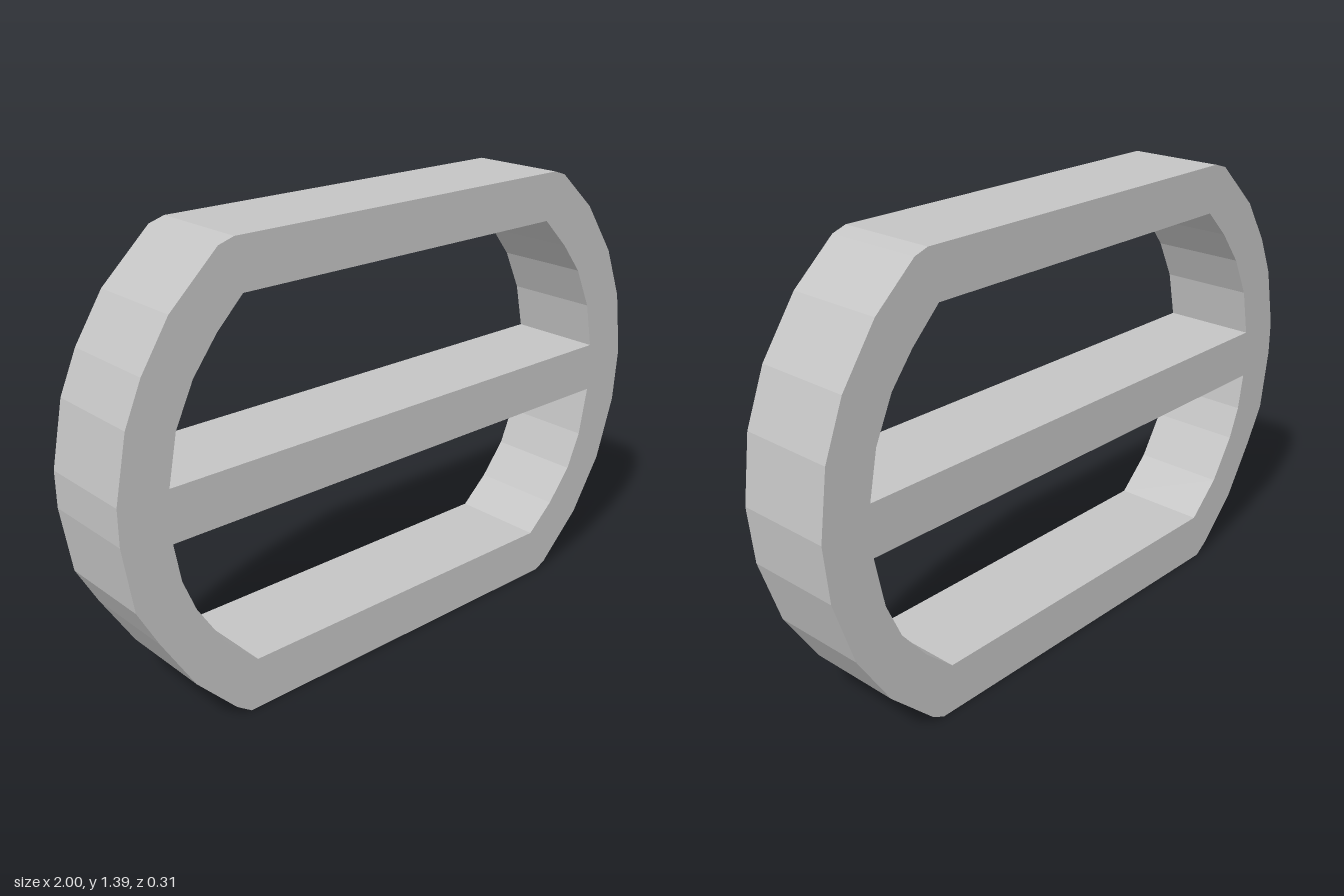
import * as THREE from 'three';

const DEPTH = 0.31;

// Closed outline from corner points
const outline = (pts, Type) => new Type(pts.map(([x, y]) => new THREE.Vector2(x, y)));

export function createModel() {
  const group = new THREE.Group();
  group.name = 'slideBuckle';
  const grey = new THREE.MeshStandardMaterial({ color: 0xc4c4c4, flatShading: true });
  grey.name = 'light grey';

  // Outer rim: flat top and bottom, faceted round ends
  const frame = outline([
    [0.62, 0], [0.66, 0.02], [0.81, 0.165], [0.92, 0.34], [0.985, 0.545],
    [1, 0.72], [0.97, 0.925], [0.905, 1.09], [0.79, 1.255], [0.655, 1.375], [0.61, 1.39],
    [-0.61, 1.39], [-0.66, 1.375], [-0.815, 1.23], [-0.905, 1.09], [-0.96, 0.965],
    [-1, 0.77], [-1, 0.66], [-0.97, 0.46], [-0.905, 0.34], [-0.8, 0.17], [-0.67, 0.035], [-0.62, 0],
  ], THREE.Shape);

  // Two strap openings, leaving the crossbar between them
  const upperSlot = outline([
    [-0.845, 0.775], [-0.815, 0.925], [-0.755, 1.05], [-0.675, 1.155], [-0.59, 1.24],
    [0.58, 1.24], [0.675, 1.145], [0.75, 1.05], [0.81, 0.92], [0.84, 0.775],
  ], THREE.Path);
  const lowerSlot = outline([
    [-0.845, 0.617], [0.84, 0.617], [0.81, 0.46], [0.76, 0.345], [0.675, 0.24], [0.58, 0.155],
    [-0.59, 0.16], [-0.7, 0.265], [-0.785, 0.4], [-0.825, 0.5],
  ], THREE.Path);
  frame.holes.push(upperSlot, lowerSlot);

  const geometry = new THREE.ExtrudeGeometry(frame, { depth: DEPTH, bevelEnabled: false });
  geometry.translate(0, 0, -DEPTH / 2);
  const mesh = new THREE.Mesh(geometry, grey);
  mesh.name = 'frameWithCrossbar';
  group.add(mesh);
  return group;
}
